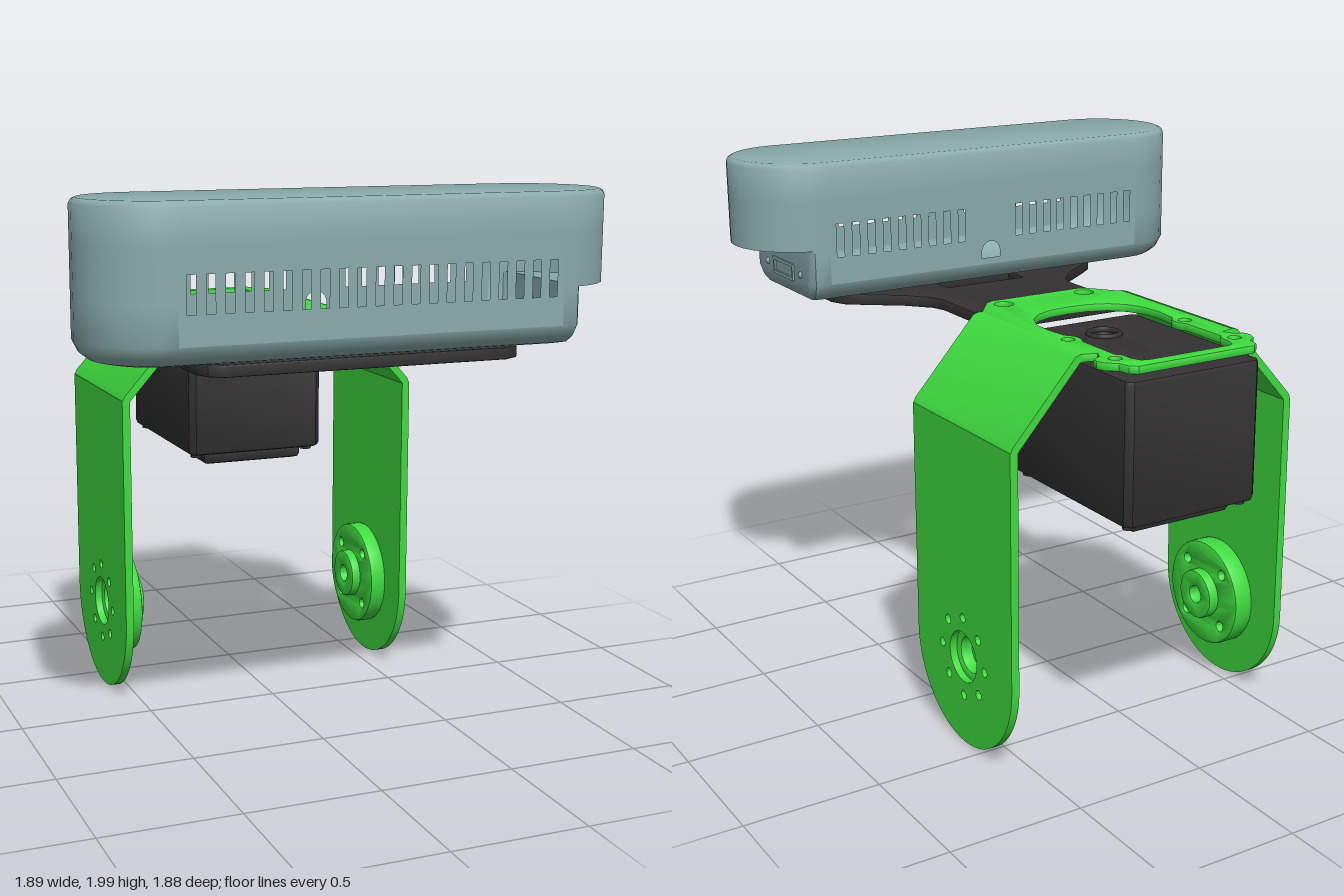
import * as THREE from 'three';
import { toCreasedNormals } from 'three/addons/utils/BufferGeometryUtils.js';
import { RoundedBoxGeometry } from 'three/addons/geometries/RoundedBoxGeometry.js';

const mat = (color) => new THREE.MeshStandardMaterial({ color, side: THREE.DoubleSide });
const CX = 0.0125; // middle of bracket and servo
const HUB_Y = 0.345, HUB_Z = -0.39;

function add(parent, name, geometry, material, x = 0, y = 0, z = 0) {
  const mesh = new THREE.Mesh(geometry, material);
  mesh.name = name;
  mesh.position.set(x, y, z);
  parent.add(mesh);
  return mesh;
}

const polygon = (pts) => new THREE.Shape(pts.map(([x, y]) => new THREE.Vector2(x, y)));
const circle = (x, y, r) => new THREE.Path().absarc(x, y, r, 0, Math.PI * 2, true);
const rect = (x0, y0, x1, y1) => polygon([[x0, y0], [x1, y0], [x1, y1], [x0, y1]]);
// Full outline from the +x half, given as (x, z); z is stored negated for flatten()
const mirrored = (half) => polygon([
  ...half, ...half.slice().reverse().filter(([x]) => x > 0).map(([x, z]) => [-x, z]),
].map(([x, z]) => [x, -z]));

function extrude(shape, depth, bevel = 0) {
  const geometry = new THREE.ExtrudeGeometry(shape, {
    depth: depth - 2 * bevel, curveSegments: 20, bevelEnabled: bevel > 0,
    bevelSize: bevel, bevelOffset: -bevel, bevelThickness: bevel, bevelSegments: 2,
  });
  return toCreasedNormals(geometry.translate(0, 0, bevel), 0.6);
}
const flatten = (geometry) => geometry.rotateX(-Math.PI / 2); // depth becomes +y
const upright = (geometry) => geometry.rotateY(Math.PI / 2); // depth becomes +x

// Stadium-shaped shell lofted from horizontal rings, open where the vent panels sit
function housingShell() {
  const R = 0.2625, END = 0.6825, SEG = 14, CUT = 0.755;
  // height, inset, whether the +x end is cut back
  const rings = [
    [1.478, 0.09, true], [1.487, 0.05, true], [1.51, 0.02, true], [1.55, 0, true],
    [1.68, 0, true], [1.68, 0, false], [1.86, 0, false], [1.98, 0, false],
    [1.994, 0.008, false], [2, 0.022, false],
  ];
  const positions = [], index = [], n = 2 * (SEG + 1);
  for (const [y, inset, cut] of rings) {
    for (let i = 0; i < n; i++) {
      const side = i <= SEG ? 1 : -1;
      const a = -Math.PI / 2 + Math.PI * (i <= SEG ? i : i - 1) / SEG;
      let x = side * END + (R - inset) * Math.cos(a);
      if (cut) x = Math.min(x, CUT - inset * 0.4);
      positions.push(x, y, (R - inset) * Math.sin(a));
    }
  }
  for (let j = 0; j < rings.length - 1; j++) {
    for (let i = 0; i < n; i++) {
      if (j >= 3 && j <= 5 && (i === SEG || i === n - 1)) continue;
      const k = (i + 1) % n, a = j * n + i, b = j * n + k;
      index.push(a, a + n, b, b, a + n, b + n);
    }
  }
  const top = (rings.length - 1) * n, center = rings.length * n;
  positions.push(0, 1.478, 0, 0, 2, 0);
  for (let i = 0; i < n; i++) {
    const k = (i + 1) % n;
    index.push(center, i, k, center + 1, top + k, top + i);
  }
  const geometry = new THREE.BufferGeometry();
  geometry.setAttribute('position', new THREE.Float32BufferAttribute(positions, 3));
  geometry.setIndex(index);
  return toCreasedNormals(geometry, 0.7);
}

function ventPanel(back) {
  const panel = rect(-0.6825, 1.55, 0.6825, 1.86);
  for (let i = 0; i < 21; i++) {
    const x = (i - 10) * 0.064;
    if (back && Math.abs(x) < 0.1) continue;
    panel.holes.push(rect(x - 0.015, 1.65, x + 0.015, 1.775));
  }
  if (back) {
    const arch = new THREE.Path();
    arch.moveTo(-0.04, 1.575).lineTo(0.04, 1.575).lineTo(0.04, 1.6);
    arch.absarc(0, 1.6, 0.04, 0, Math.PI, false);
    panel.holes.push(arch);
  }
  return new THREE.ShapeGeometry(panel);
}

function buildHousing(material) {
  const group = new THREE.Group();
  group.name = 'cameraHousing';
  group.position.z = 0.6725;
  add(group, 'shell', housingShell(), material);
  add(group, 'frontVents', ventPanel(false), material, 0, 0, 0.2625);
  add(group, 'backVents', ventPanel(true), material, 0, 0, -0.2625).rotation.y = Math.PI;
  // Port on the stepped end
  const port = rect(-0.09, 1.54, 0.09, 1.605);
  port.holes.push(rect(-0.078, 1.552, 0.078, 1.593));
  add(group, 'portFrame', upright(extrude(port, 0.012)), material, 0.75);
  for (const z of [-0.15, 0.15]) {
    add(group, 'endButton', new THREE.SphereGeometry(0.014, 12, 8), material, 0.752, 1.575, z);
  }
  return group;
}

// Leg on the +x side, around the hub axis
function buildLeg(name, discDepth, bossDepth, material) {
  const leg = new THREE.Group();
  leg.name = name;
  const strip = new THREE.Shape();
  strip.moveTo(0.335, 0.86).lineTo(-0.335, 0.86).lineTo(-0.335, 0);
  strip.absarc(0, 0, 0.335, Math.PI, Math.PI * 2, false);
  strip.holes.push(circle(0, 0, 0.095));
  const disc = new THREE.Shape().absarc(0, 0, 0.205, 0, Math.PI * 2, false);
  disc.holes.push(circle(0, 0, 0.065));
  const boss = new THREE.Shape().absarc(0, 0, 0.095, 0, Math.PI * 2, false);
  boss.holes.push(circle(0, 0, 0.033));
  for (let i = 0; i < 4; i++) {
    const a = i * Math.PI / 2, b = a + Math.PI / 4;
    strip.holes.push(circle(0.15 * Math.cos(a), 0.15 * Math.sin(a), 0.017));
    for (const s of [strip, disc]) s.holes.push(circle(0.15 * Math.cos(b), 0.15 * Math.sin(b), 0.018));
  }
  add(leg, 'legStrip', upright(extrude(strip, 0.03)), material, 0.5575, HUB_Y);
  add(leg, 'hubDisc', upright(extrude(disc, discDepth, 0.01)), material, 0.56 - discDepth, HUB_Y);
  add(leg, 'hubBoss', upright(extrude(boss, bossDepth + 0.02, 0.007)), material,
    0.56 - discDepth - bossDepth, HUB_Y);
  // Sloping shoulder joining the top plate
  const shoulder = polygon([[0.5575, 1.2], [0.5875, 1.2], [0.578, 1.222], [0.335, 1.493],
    [0.31, 1.5], [0.29, 1.472], [0.318, 1.47], [0.55, 1.21]]);
  add(leg, 'shoulder', extrude(shoulder, 0.67), material, 0, 0, -0.335);
  leg.position.set(CX, 0, HUB_Z);
  return leg;
}

function buildBracket(material) {
  const group = new THREE.Group();
  group.name = 'bracket';
  group.add(buildLeg('leftLeg', 0.065, 0.035, material));
  const right = buildLeg('rightLeg', 0.08, 0.04, material);
  right.rotation.y = Math.PI;
  group.add(right);

  const plate = mirrored([[0, 0.065], [0.19, 0.065], [0.22, 0.05], [0.3, -0.055], [0.312, -0.055],
    [0.312, -0.725], [0.26, -0.74], [0.275, -0.77], [0.31, -0.79], [0.318, -0.82], [0.305, -0.85],
    [0.27, -0.88], [0.26, -0.92], [0.235, -0.94], [0, -0.94]]);
  plate.holes.push(mirrored([[0, -0.165], [0.08, -0.172], [0.15, -0.2], [0.2, -0.25], [0.23, -0.32],
    [0.235, -0.4], [0.225, -0.49], [0.205, -0.515], [0.2, -0.54], [0.205, -0.565], [0.217, -0.59],
    [0.217, -0.78], [0.2, -0.8], [0.198, -0.85], [0.185, -0.88], [0.165, -0.89], [0, -0.89]]));
  for (const s of [-1, 1]) {
    plate.holes.push(circle(s * 0.175, 0, 0.035));
    for (const z of [-0.54, -0.82]) plate.holes.push(circle(s * 0.245, -z, 0.022));
  }
  add(group, 'topPlate', flatten(extrude(plate, 0.03, 0.006)), material, CX, 1.47);
  return group;
}

function buildServo(material) {
  const group = new THREE.Group();
  group.name = 'servo';
  group.position.x = CX;
  const shaft = () => circle(0, 0.395, 0.04);
  const body = mirrored([[0, -0.2], [0.25, -0.2], [0.272, -0.222], [0.272, -0.918], [0.25, -0.94], [0, -0.94]]);
  body.holes.push(shaft());
  add(group, 'body', flatten(extrude(body, 0.51, 0.018)), material, 0, 0.94);
  // Stepped base with a pocket
  const base = mirrored([[0, -0.25], [0.2, -0.25], [0.2, -0.87], [0, -0.87]]);
  base.holes.push(shaft(), rect(-0.13, 0.56, 0.13, 0.72));
  add(group, 'base', flatten(extrude(base, 0.07, 0.02)), material, 0, 0.892);
  for (const s of [-1, 1]) {
    add(group, 'connector', new RoundedBoxGeometry(0.09, 0.04, 0.11, 2, 0.008), material, s * 0.065, 0.93, -0.64);
    for (const z of [-0.26, -0.89]) {
      add(group, 'screw', new THREE.CylinderGeometry(0.022, 0.022, 0.02, 16), material, s * 0.23, 0.936, z);
    }
  }
  // Raised ring around the shaft hole
  add(group, 'shaftRing', new THREE.TorusGeometry(0.055, 0.012, 8, 28).rotateX(Math.PI / 2), material, 0, 1.45, -0.395);
  return group;
}

function mountPlate() {
  const plate = mirrored([[0, -0.1], [0.282, -0.1], [0.282, 0.26], [0.3, 0.32], [0.375, 0.405],
    [0.5, 0.5], [0.56, 0.55], [0.585, 0.61], [0.585, 0.76], [0.56, 0.82], [0.51, 0.85], [0, 0.85]]);
  plate.holes.push(rect(-0.17, -0.54, 0.17, -0.43));
  for (const s of [-1, 1]) {
    plate.holes.push(circle(s * 0.5, -0.69, 0.03), circle(s * 0.175, 0, 0.035));
  }
  return flatten(extrude(plate, 0.042, 0.005));
}

export function createModel() {
  const model = new THREE.Group();
  model.name = 'cameraOnServoBracket';
  const dark = mat(0x333132);
  model.add(buildHousing(mat(0x8aaaab)));
  add(model, 'mountPlate', mountPlate(), dark, CX, 1.432);
  model.add(buildBracket(mat(0x3fdc3f)));
  model.add(buildServo(dark));
  return model;
}
